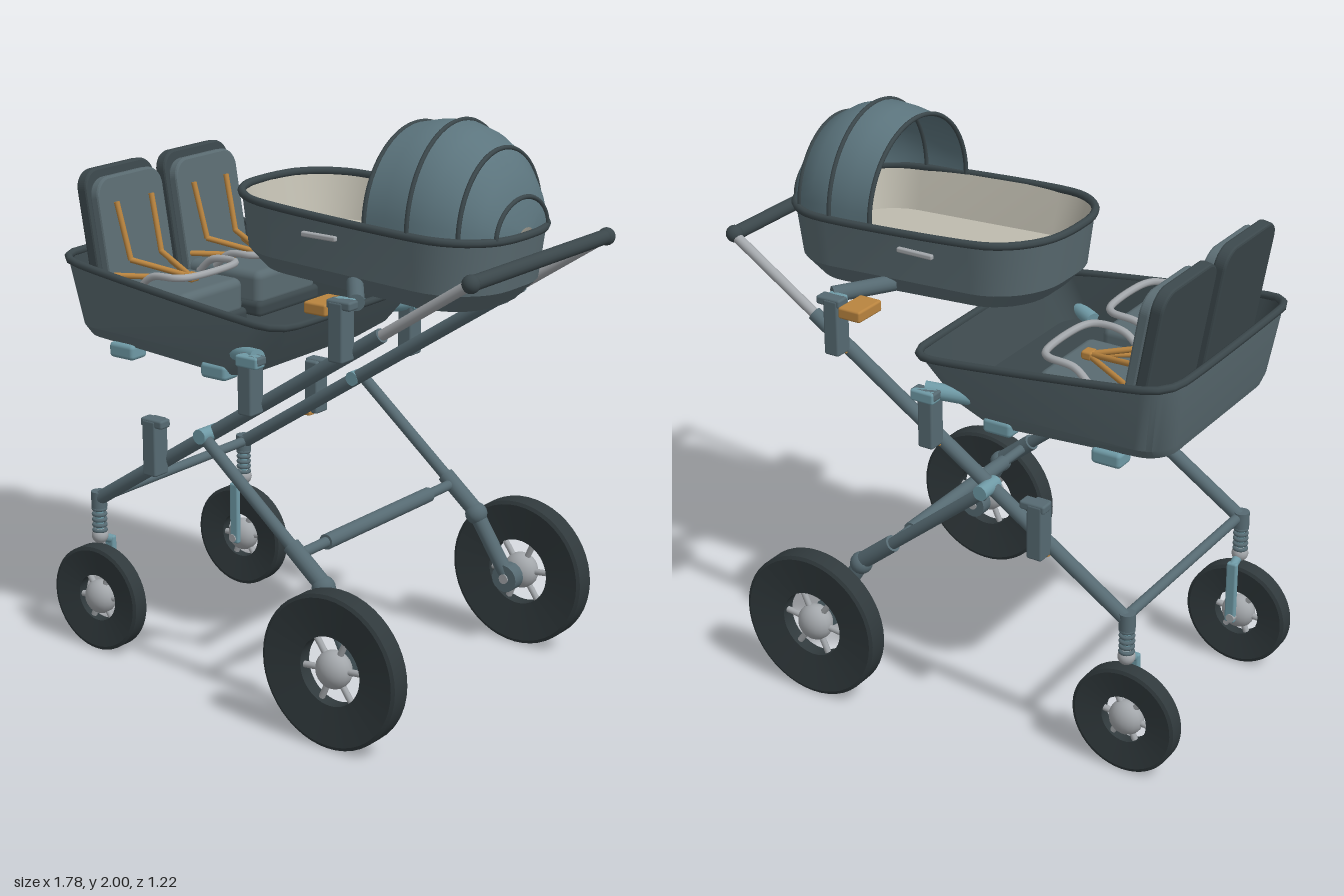
import * as THREE from 'three';
import { toCreasedNormals } from 'three/addons/utils/BufferGeometryUtils.js';
import { RoundedBoxGeometry } from 'three/addons/geometries/RoundedBoxGeometry.js';

const paint = (name, color, side = THREE.FrontSide) => {
  const m = new THREE.MeshStandardMaterial({ color, side });
  m.name = name;
  return m;
};
const V = (x, y, z) => new THREE.Vector3(x, y, z);

export function createModel() {
  const model = new THREE.Group();
  const slate = paint('slate frame', 0x566a72);
  const fabric = paint('slate fabric', 0x5a6b71);
  const hoodMat = paint('hood fabric', 0x5c757e, THREE.DoubleSide);
  const dark = paint('dark lining', 0x3b474b);
  const rubber = paint('tyre rubber', 0x30393c);
  const steel = paint('steel', 0xa3a7ab);
  const teal = paint('teal fittings', 0x6f9aa6);
  const cream = paint('cream lining', 0xc0bdb0);
  const amber = paint('amber straps', 0xb9843f);

  // ---------- helpers ----------
  const add = (name, geo, mat, pos = [0, 0, 0], parent = model) => {
    const m = new THREE.Mesh(geo, mat);
    m.name = name;
    m.position.set(...pos);
    parent.add(m);
    return m;
  };
  const box = (name, mat, size, pos, parent = model, r = 0.008) =>
    add(name, new RoundedBoxGeometry(...size, 2, r), mat, pos, parent);
  const rod = (name, mat, a, b, r, r2 = r, parent = model) => {
    const p = V(...a), q = V(...b), d = q.clone().sub(p);
    const m = add(name, new THREE.CylinderGeometry(r2, r, d.length(), 16), mat, p.clone().add(q).multiplyScalar(0.5).toArray(), parent);
    m.quaternion.setFromUnitVectors(V(0, 1, 0), d.normalize());
    return m;
  };
  const ball = (name, mat, r, pos, parent = model) => add(name, new THREE.SphereGeometry(r, 18, 12), mat, pos, parent);
  const tube = (name, mat, pts, r, closed = false, parent = model) =>
    add(name, new THREE.TubeGeometry(new THREE.CatmullRomCurve3(pts, closed, 'centripetal'), 72, r, 8, closed), mat, [0, 0, 0], parent);

  // rounded rectangle lying in xz, with its height sloping from y0 at x0 to y1 at x1
  const ring = ({ x0, x1, hz, r, y0, y1 }) => {
    const pts = [], corners = [[x1 - r, hz - r], [x0 + r, hz - r], [x0 + r, r - hz], [x1 - r, r - hz]];
    corners.forEach(([cx, cz], k) => {
      for (let i = 0; i <= 8; i++) {
        const t = (k + i / 8) * Math.PI / 2;
        const x = cx + r * Math.cos(t);
        pts.push(V(x, y0 + (y1 - y0) * (x - x0) / (x1 - x0), cz + r * Math.sin(t)));
      }
    });
    return pts;
  };
  // skin over rows of points; cap is 'start', 'end' or nothing
  const loft = (rows, closed, cap) => {
    const n = rows[0].length, pos = rows.flat().flatMap(p => p.toArray()), idx = [];
    for (let i = 0; i + 1 < rows.length; i++) for (let j = 0; j < (closed ? n : n - 1); j++) {
      const a = i * n + j, b = i * n + (j + 1) % n;
      idx.push(a, a + n, b, b, a + n, b + n);
    }
    if (cap) {
      const o = cap === 'start' ? 0 : (rows.length - 1) * n, c = pos.length / 3;
      const mid = rows[o / n].reduce((s, p) => s.add(p), V(0, 0, 0)).divideScalar(n);
      pos.push(...mid.toArray());
      for (let j = 0; j < n; j++) {
        const a = o + j, b = o + (j + 1) % n;
        if (cap === 'start') idx.push(c, a, b); else idx.push(c, b, a);
      }
    }
    const g = new THREE.BufferGeometry();
    g.setAttribute('position', new THREE.Float32BufferAttribute(pos, 3));
    g.setIndex(idx);
    return toCreasedNormals(g, 0.45);
  };
  const tub = (name, outer, inner, inMat) => {
    add(name + 'Shell', loft(outer.map(ring), true, 'start'), fabric);
    add(name + 'Lining', loft(inner.map(ring), true, 'end'), inMat);
    tube(name + 'Rim', dark, ring(outer[outer.length - 1]).filter((p, i) => i % 2 === 0 || i % 9 === 8), 0.014, true);
  };

  // ---------- seat tub ----------
  tub('seatTub', [
    { x0: -0.79, x1: -0.08, hz: 0.37, r: 0.09, y0: 1.155, y1: 1.11 },
    { x0: -0.80, x1: 0.02, hz: 0.40, r: 0.10, y0: 1.19, y1: 1.175 },
    { x0: -0.835, x1: 0.135, hz: 0.435, r: 0.10, y0: 1.43, y1: 1.32 }], [
    { x0: -0.83, x1: 0.13, hz: 0.43, r: 0.10, y0: 1.43, y1: 1.32 },
    { x0: -0.78, x1: 0.0, hz: 0.385, r: 0.09, y0: 1.21, y1: 1.19 }], dark);

  // ---------- bassinet ----------
  tub('bassinet', [
    { x0: -0.17, x1: 0.71, hz: 0.23, r: 0.18, y0: 1.465, y1: 1.415 },
    { x0: -0.225, x1: 0.775, hz: 0.275, r: 0.22, y0: 1.525, y1: 1.48 },
    { x0: -0.25, x1: 0.80, hz: 0.292, r: 0.24, y0: 1.71, y1: 1.655 }], [
    { x0: -0.245, x1: 0.795, hz: 0.287, r: 0.235, y0: 1.71, y1: 1.655 },
    { x0: -0.20, x1: 0.75, hz: 0.25, r: 0.20, y0: 1.55, y1: 1.51 }], cream);

  // ---------- hood: arches of [x, half width, top] ----------
  const arches = [[0.375, 0.292, 1.97], [0.455, 0.293, 1.988], [0.54, 0.292, 1.995], [0.62, 0.28, 1.97],
    [0.70, 0.24, 1.923], [0.75, 0.195, 1.85], [0.783, 0.15, 1.775], [0.80, 0.04, 1.68]].map(([x, w, top]) => {
    const base = 1.71 - 0.052 * (x + 0.25), pts = [];
    for (let i = 0; i <= 24; i++) {
      const t = Math.PI * i / 24;
      pts.push(V(x, base + (top - base) * Math.sin(t), -w * Math.cos(t)));
    }
    return pts;
  });
  add('hood', loft(arches, false), hoodMat);
  [0, 2, 4, 6].forEach(i => tube('hoodRib', dark, arches[i], 0.008));

  // ---------- twin seats ----------
  const panel = (w, h, r, t) => {
    const s = new THREE.Shape(), a = w / 2 - r, b = h / 2 - r;
    [[a, b], [-a, b], [-a, -b], [a, -b]].forEach(([x, y], k) => s.absarc(x, y, r, k * Math.PI / 2, (k + 1) * Math.PI / 2, false));
    return new THREE.ExtrudeGeometry(s, { depth: t - 0.016, bevelSize: 0.008, bevelThickness: 0.008, bevelSegments: 2, curveSegments: 8 })
      .translate(0, 0, 0.008 - t / 2).rotateY(Math.PI / 2);
  };
  for (const s of [1, -1]) {
    const seat = new THREE.Group();
    seat.name = 'seat';
    seat.position.z = s * 0.205;
    model.add(seat);
    add('seatBackShell', panel(0.34, 0.48, 0.06, 0.045), dark, [-0.725, 1.485, 0], seat).rotation.z = 0.17;
    add('seatBackPad', panel(0.32, 0.44, 0.06, 0.04), fabric, [-0.68, 1.48, 0], seat).rotation.z = 0.17;
    box('seatCushion', fabric, [0.34, 0.13, 0.33], [-0.49, 1.29, 0], seat, 0.03);
    box('seatBase', dark, [0.36, 0.06, 0.35], [-0.49, 1.22, 0], seat, 0.02);
    tube('bumperBar', steel, [V(-0.52, 1.35, -0.16), V(-0.46, 1.40, -0.16), V(-0.36, 1.41, -0.155), V(-0.33, 1.41, -0.12),
      V(-0.33, 1.41, 0.12), V(-0.36, 1.41, 0.155), V(-0.46, 1.40, 0.16), V(-0.52, 1.35, 0.16)], 0.013, false, seat);
    for (const k of [1, -1]) {
      rod('shoulderStrap', amber, [-0.675, 1.62, k * 0.09], [-0.625, 1.42, k * 0.08], 0.010, 0.010, seat);
      rod('chestStrap', amber, [-0.625, 1.42, k * 0.08], [-0.42, 1.375, 0], 0.010, 0.010, seat);
      rod('hipStrap', amber, [-0.65, 1.375, k * 0.15], [-0.42, 1.37, 0], 0.010, 0.010, seat);
    }
    box('buckle', amber, [0.04, 0.03, 0.045], [-0.42, 1.375, 0], seat);
  }

  // ---------- wheels ----------
  const wheel = (name, x, y, z, ro, ri, w, hubR) => {
    const g = new THREE.Group();
    g.name = name;
    g.position.set(x, y, z);
    model.add(g);
    const h = w / 2;
    const profile = [[ri, -h * 0.6], [ro - 0.012, -h], [ro, -h * 0.85], [ro, h * 0.85], [ro - 0.012, h], [ri, h * 0.6], [ri, -h * 0.6]];
    const tyre = new THREE.LatheGeometry(profile.map(p => new THREE.Vector2(...p)), 48);
    add('tyre', toCreasedNormals(tyre, 0.5).rotateX(Math.PI / 2), rubber, [0, 0, 0], g);
    ball('hub', steel, hubR, [0, 0, 0], g).scale.z = 0.8;
    for (let i = 0; i < 6; i++) {
      const t = i * Math.PI / 3 + 0.1, c = Math.cos(t), n = Math.sin(t);
      rod('spoke', steel, [c * hubR * 0.7, n * hubR * 0.7, 0], [c * (ri + 0.01), n * (ri + 0.01), 0], 0.011, 0.011, g);
    }
  };

  // ---------- mirrored chassis ----------
  const adapter = (s, x, y) => {
    box('adapterBracket', slate, [0.058, 0.2, 0.07], [x, y, s * 0.452]);
    box('adapterHead', slate, [0.095, 0.03, 0.05], [x + 0.01, y + 0.09, s * 0.46]);
    box('adapterButton', amber, [0.03, 0.015, 0.03], [x - 0.01, y - 0.1, s * 0.42], model, 0.004);
  };
  for (const s of [1, -1]) {
    const z = s * 0.405, zl = s * 0.45;
    rod('mainTube', slate, [-0.69, 0.57, z], [0.53, 1.37, z], 0.025);
    rod('handleTube', steel, [0.50, 1.35, z], [0.855, 1.583, z], 0.018);
    ball('handleEnd', dark, 0.03, [0.858, 1.585, s * 0.40]);

    // rear leg and suspension arm
    rod('rearLeg', slate, [-0.17, 0.91, zl], [0.33, 0.50, zl], 0.021);
    rod('legPivot', teal, [-0.17, 0.915, s * 0.38], [-0.17, 0.915, s * 0.475], 0.026);
    rod('legSleeve', slate, [0.20, 0.607, zl], [0.34, 0.492, zl], 0.030);
    ball('legKnuckle', slate, 0.04, [0.335, 0.49, zl]);
    rod('rearArm', slate, [0.335, 0.49, zl], [0.46, 0.27, s * 0.47], 0.028);
    rod('rearBoss', slate, [0.46, 0.27, s * 0.445], [0.46, 0.27, s * 0.495], 0.05);
    rod('rearAxle', steel, [0.46, 0.27, s * 0.44], [0.46, 0.27, s * 0.56], 0.018);
    wheel('rearWheel', 0.46, 0.27, s * 0.56, 0.267, 0.12, 0.08, 0.066);

    // sprung front fork
    rod('forkCollar', slate, [-0.695, 0.535, z], [-0.695, 0.595, z], 0.028);
    rod('forkStem', teal, [-0.695, 0.41, z], [-0.695, 0.54, z], 0.015);
    for (let i = 0; i < 5; i++)
      add('springCoil', new THREE.TorusGeometry(0.021, 0.007, 8, 18).rotateX(Math.PI / 2), slate, [-0.695, 0.45 + i * 0.02, z]);
    ball('forkJoint', steel, 0.03, [-0.695, 0.43, z]);
    rod('forkShoulder', teal, [-0.695, 0.425, z], [-0.695, 0.40, s * 0.35], 0.016);
    box('forkBlade', teal, [0.04, 0.24, 0.022], [-0.695, 0.295, s * 0.35]);
    rod('frontAxle', steel, [-0.70, 0.195, s * 0.335], [-0.70, 0.195, s * 0.44], 0.016);
    wheel('frontWheel', -0.70, 0.195, z, 0.192, 0.085, 0.064, 0.062);

    // carrier mounts on the main tube
    adapter(s, -0.385, 0.835);
    adapter(s, 0.035, 1.13);
    adapter(s, 0.405, 1.375);
    rod('tubMountArm', teal, [0.06, 1.225, s * 0.445], [-0.10, 1.20, s * 0.37], 0.028);
    box('tubMountCap', teal, [0.09, 0.04, 0.05], [0.045, 1.215, s * 0.465]);
    rod('bassinetMountArm', slate, [0.44, 1.465, s * 0.42], [0.31, 1.475, s * 0.25], 0.028);
    box('bassinetLatch', amber, [0.088, 0.04, 0.13], [0.327, 1.44, s * 0.425]);
    box('bassinetLatchTop', teal, [0.07, 0.03, 0.06], [0.41, 1.465, s * 0.45]);
    for (const x of [-0.59, -0.18]) box('tubFoot', teal, [0.11, 0.055, 0.08], [x, 1.12, s * 0.35], model, 0.015);
    box('carryHandle', steel, [0.14, 0.018, 0.02], [0.195, 1.62, s * 0.29], model, 0.006);
  }

  // ---------- cross members ----------
  rod('handlebar', dark, [0.857, 1.585, -0.40], [0.857, 1.585, 0.40], 0.025);
  rod('frontCrossbar', slate, [-0.685, 0.573, -0.405], [-0.685, 0.573, 0.405], 0.018);
  rod('rearCrossbar', slate, [0.23, 0.58, -0.45], [0.23, 0.58, 0.45], 0.018);
  rod('rearCrossbarSleeve', slate, [0.23, 0.58, -0.30], [0.23, 0.58, 0.30], 0.027);
  return model;
}
